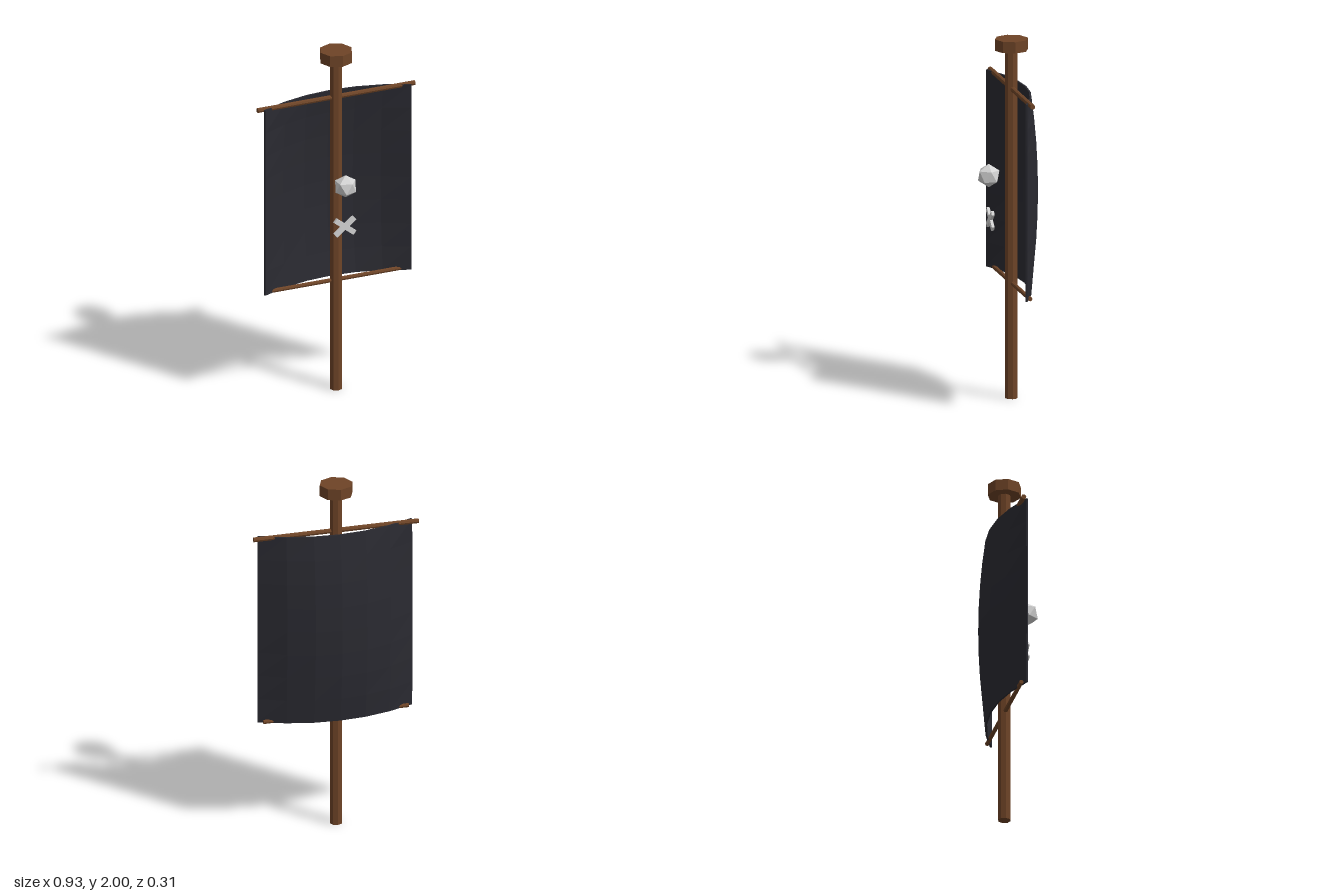
import * as THREE from 'three';

export function createModel() {
  const flat = (name, color) => {
    const m = new THREE.MeshStandardMaterial({ color, flatShading: true });
    m.name = name;
    return m;
  };
  const wood = flat('wood brown', 0x6e4427);
  const cloth = flat('sail black', 0x2a2a31);
  const bone = flat('bone white', 0xd2d2d2);

  const model = new THREE.Group();
  model.name = 'mastWithSail';
  const add = (name, geometry, material, x, y, z) => {
    const mesh = new THREE.Mesh(geometry, material);
    mesh.name = name;
    mesh.position.set(x, y, z);
    model.add(mesh);
    return mesh;
  };

  // Mast and lookout platform
  const mastZ = -0.027;
  add('mast', new THREE.CylinderGeometry(0.035, 0.035, 1.95, 8), wood, 0, 0.975, mastZ);
  add('lookout', new THREE.CylinderGeometry(0.092, 0.092, 0.063, 8), wood, 0, 1.9685, mastZ);

  // Horizontal yards
  const yard = (name, radius, length, y) => {
    const geometry = new THREE.CylinderGeometry(radius, radius, length, 8).rotateZ(Math.PI / 2);
    add(name, geometry, wood, 0, y, mastZ);
  };
  yard('upperYard', 0.014, 0.932, 1.724);
  yard('lowerYard', 0.012, 0.82, 0.643);

  // Sail: a thin slab billowing backwards, deepest at mid height
  const halfW = 0.435, height = 1.095;
  const sail = new THREE.BoxGeometry(halfW * 2, height, 0.01, 6, 8, 1);
  const p = sail.attributes.position;
  for (let i = 0; i < p.count; i++) {
    const u = p.getX(i) / halfW, v = p.getY(i) / (height / 2), t = p.getZ(i);
    const belly = 0.105 + 0.045 * (1 - v * v);
    const slope = (2 * belly * u) / halfW;
    const n = Math.hypot(1, slope);
    p.setX(i, u * halfW - (t * slope) / n);
    p.setZ(i, -belly * (1 - u * u) + t / n);
  }
  sail.computeVertexNormals();
  add('sail', sail, cloth, 0, 1.183, 0);

  // Emblem in front of the mast: faceted ball with one corner up, and crossed bars
  const ball = new THREE.IcosahedronGeometry(0.065, 0).rotateZ(-0.5536);
  add('emblemBall', ball, bone, 0, 1.245, 0.1);
  for (const s of [-1, 1]) {
    const bar = add(s < 0 ? 'emblemBarRight' : 'emblemBarLeft',
      new THREE.BoxGeometry(0.144, 0.028, 0.016), bone, 0, 1.003, 0.091);
    bar.rotation.z = s * 0.66;
  }
  return model;
}
